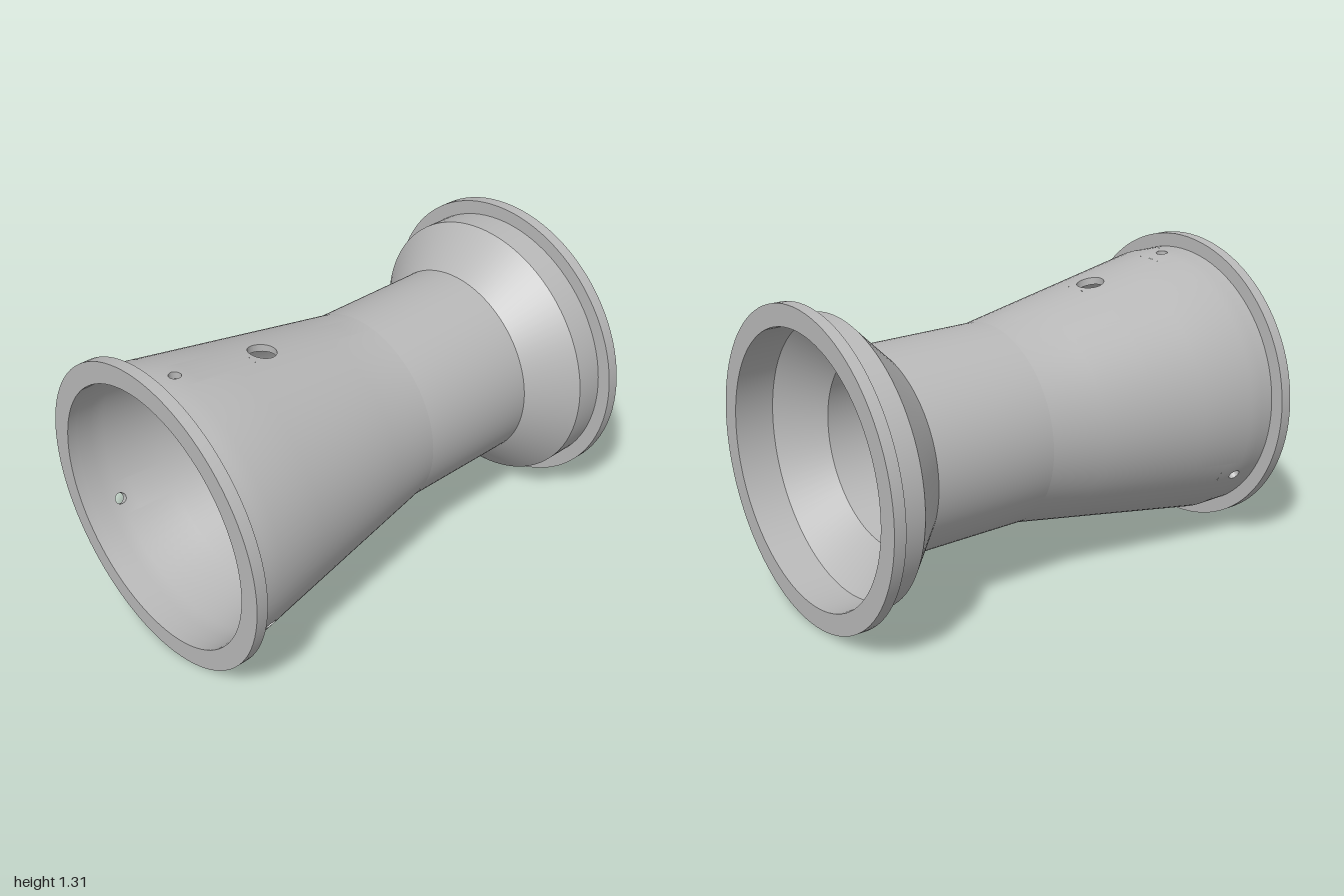
import * as THREE from 'three';
import { toCreasedNormals } from 'three/addons/utils/BufferGeometryUtils.js';

const SEG = 96;            // sides around the axle
const RADIUS = 0.655;      // flange radius
const PATCH_A = Math.PI / 24, PATCH_Z = 0.08; // half size of the patch around a wall hole

const metal = new THREE.MeshStandardMaterial({ color: 0xb8b8b8 });
metal.name = 'bare metal';

// Radius of the tapered front wall at depth z
const WALL = { outer: [0.43, 0.595], inner: [0.4, 0.565] };
function wallRadius(side, z) {
  const [a, b] = WALL[side];
  return a + (b - a) * THREE.MathUtils.clamp((z + 0.11) / 0.94, 0, 1);
}

function wallPoint(side, a, z) {
  const r = wallRadius(side, z);
  return new THREE.Vector3(r * Math.cos(a), r * Math.sin(a), z);
}

// Smooth normal of the wall, softened at the ends of the taper
function wallNormal(side, a, z) {
  const slope = (wallRadius(side, z + 0.06) - wallRadius(side, z - 0.06)) / 0.12;
  const n = new THREE.Vector3(Math.cos(a), Math.sin(a), -slope).normalize();
  return side === 'inner' ? n.negate() : n;
}

// Grid surface from a rule; normals come from a second rule if given
function grid(point, nu, nv, flip, normal) {
  const pos = [], nor = [], idx = [];
  for (let j = 0; j <= nv; j++) for (let i = 0; i <= nu; i++) {
    pos.push(...point(i / nu, j / nv).toArray());
    if (normal) nor.push(...normal(i / nu, j / nv).toArray());
  }
  for (let j = 0; j < nv; j++) for (let i = 0; i < nu; i++) {
    const a = j * (nu + 1) + i, b = a + 1, c = a + nu + 1, d = c + 1;
    if (flip) idx.push(a, d, b, a, c, d);
    else idx.push(a, b, d, a, d, c);
  }
  const g = new THREE.BufferGeometry();
  g.setAttribute('position', new THREE.Float32BufferAttribute(pos, 3));
  g.setIndex(idx);
  if (normal) g.setAttribute('normal', new THREE.Float32BufferAttribute(nor, 3));
  else g.computeVertexNormals();
  return g;
}

function add(parent, name, geometry) {
  const mesh = new THREE.Mesh(geometry, metal);
  mesh.name = name;
  parent.add(mesh);
}

// Turned part along z from [radius, z] points
function turned(points) {
  const g = new THREE.LatheGeometry(points.map(([r, z]) => new THREE.Vector2(r, z)), SEG);
  g.rotateX(Math.PI / 2);
  return toCreasedNormals(g, 0.4);
}

// Piece of wall, where map turns (u, v) into [angle, z]
function wallPiece(parent, side, map, nu, nv) {
  add(parent, side + 'Wall', grid(
    (u, v) => wallPoint(side, ...map(u, v)), nu, nv, side === 'inner',
    (u, v) => wallNormal(side, ...map(u, v))));
}

function wallStrip(parent, a0, a1, z0, z1) {
  const n = Math.round((a1 - a0) / (2 * Math.PI) * SEG);
  for (const side of ['outer', 'inner'])
    wallPiece(parent, side, (u, v) => [a0 + (a1 - a0) * u, z0 + (z1 - z0) * v], n, 4);
}

// Rectangular patch of wall with a round hole and its bore
function wallHole(parent, angle, z, radius) {
  const R = wallRadius('outer', z);
  const rim = (t, k) => {
    const c = Math.cos(t), s = Math.sin(t), m = Math.max(Math.abs(c), Math.abs(s));
    return [angle + THREE.MathUtils.lerp(radius / R * c, PATCH_A * c / m, k),
      z + THREE.MathUtils.lerp(radius * s, PATCH_Z * s / m, k)];
  };
  for (const side of ['outer', 'inner'])
    wallPiece(parent, side, (u, v) => rim(v * 2 * Math.PI, u), 8, 48);
  add(parent, 'holeBore', grid((u, v) => {
    const p = rim(u * 2 * Math.PI, 0);
    return wallPoint('outer', ...p).lerp(wallPoint('inner', ...p), v);
  }, 48, 1));
}

export function createModel() {
  const model = new THREE.Group();
  model.name = 'wheelRim';
  const rim = new THREE.Group();
  rim.name = 'rimBody';
  rim.position.y = RADIUS;
  model.add(rim);

  // Rear bowl with flange, and the straight barrel
  add(rim, 'rearBarrel', turned([
    [0.4, -0.11], [0.4, -0.66], [0.565, -0.83], [0.565, -1], [RADIUS, -1], [RADIUS, -0.95],
    [0.595, -0.95], [0.595, -0.83], [0.43, -0.66], [0.43, -0.11]]));

  // Front flange
  add(rim, 'frontFlange', turned([
    [0.595, 0.95], [RADIUS, 0.95], [RADIUS, 1], [0.565, 1], [0.565, 0.95]]));

  // Tapered front wall: three drilled sectors, the top one with an extra valve hole
  const front = new THREE.Group();
  front.name = 'taperedWall';
  rim.add(front);
  for (let k = 0; k < 3; k++) {
    const a = Math.PI / 2 + k * 2 * Math.PI / 3;
    const holes = [[0.83, 0.025]];
    if (k === 0) holes.unshift([0.42, 0.058]);
    let z = -0.11;
    for (const [hz, hr] of holes) {
      wallStrip(front, a - PATCH_A, a + PATCH_A, z, hz - PATCH_Z);
      wallHole(front, a, hz, hr);
      z = hz + PATCH_Z;
    }
    wallStrip(front, a - PATCH_A, a + PATCH_A, z, 0.95);
    const next = a + 2 * Math.PI / 3;
    wallStrip(front, a + PATCH_A, next - PATCH_A, -0.11, 0.83);
    wallStrip(front, a + PATCH_A, next - PATCH_A, 0.83, 0.95);
  }

  // Mounting web with centre bore and three bolt holes
  const disc = new THREE.Shape().absarc(0, 0, 0.402, 0, Math.PI * 2);
  disc.holes.push(new THREE.Path().absarc(0, 0, 0.192, 0, Math.PI * 2, true));
  for (let k = 0; k < 3; k++) {
    const a = -Math.PI / 2 + k * 2 * Math.PI / 3;
    disc.holes.push(new THREE.Path().absarc(
      0.278 * Math.cos(a), 0.278 * Math.sin(a), 0.038, 0, Math.PI * 2, true));
  }
  const web = new THREE.ExtrudeGeometry(disc, { depth: 0.1, bevelEnabled: false, curveSegments: 48 });
  web.translate(0, 0, -0.4);
  add(rim, 'mountingWeb', toCreasedNormals(web, 0.5));

  return model;
}
